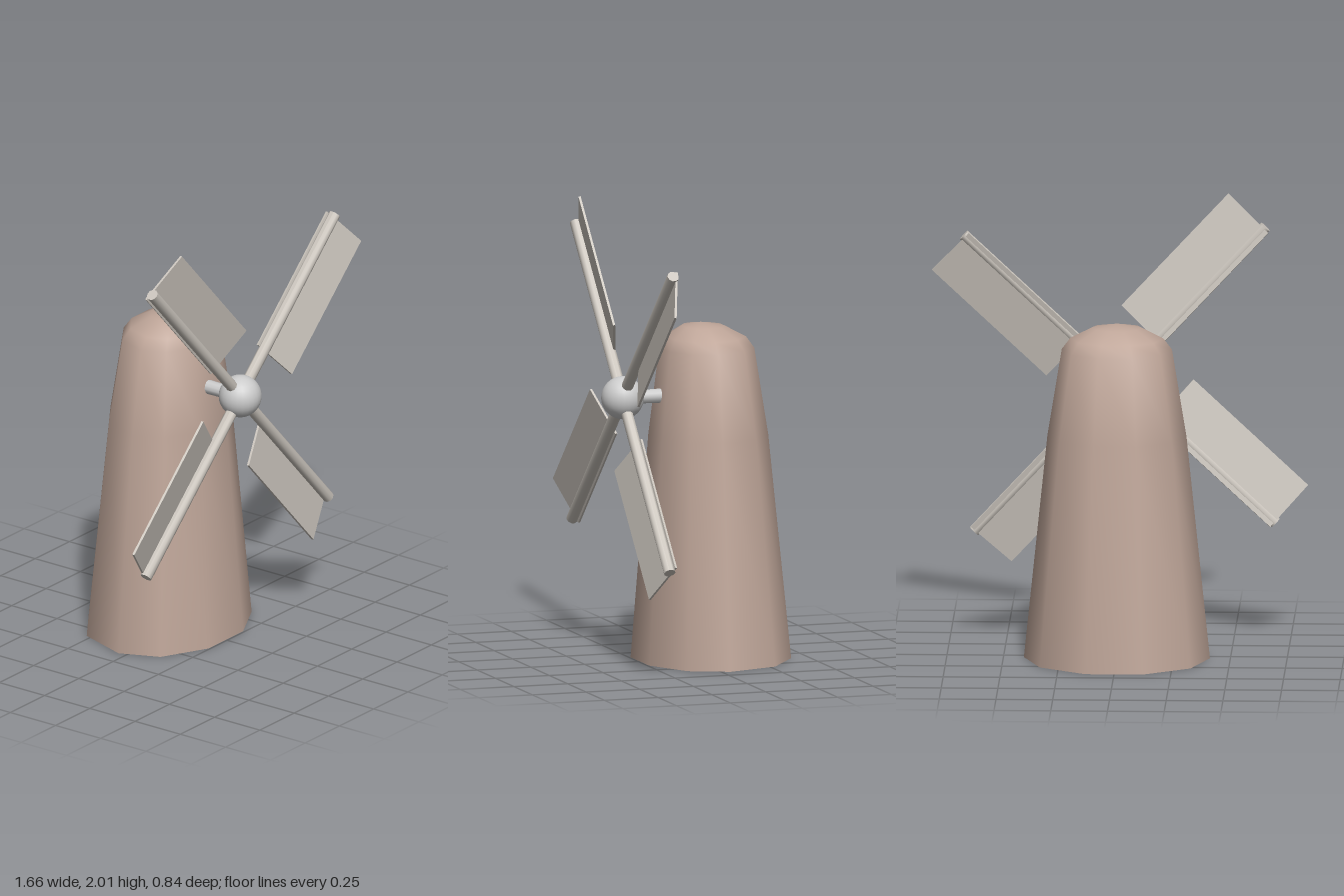
import * as THREE from 'three';
import { toCreasedNormals } from 'three/addons/utils/BufferGeometryUtils.js';

const HUB = { y: 1.18, z: 0.323 };
const brown = new THREE.MeshStandardMaterial({ color: 0xbfa699 });
const grey = new THREE.MeshStandardMaterial({ color: 0xcccccc });
const beige = new THREE.MeshStandardMaterial({ color: 0xcbc5bd });

function addMesh(parent, name, geometry, material) {
  const mesh = new THREE.Mesh(geometry, material);
  mesh.name = name;
  parent.add(mesh);
  return mesh;
}

// Ten-sided tapering tower with a domed top, flatter at the front than at the back
function towerGeometry() {
  const profile = [[0, 0], [0.41, 0], [0.306, 1], [0.243, 1.385], [0.205, 1.435], [0.11, 1.483], [0, 1.5]]
    .map(([r, y]) => new THREE.Vector2(r, y));
  const geometry = new THREE.LatheGeometry(profile, 10, Math.PI / 2);
  const pos = geometry.attributes.position;
  for (let i = 0; i < pos.count; i++) {
    const z = pos.getZ(i);
    pos.setZ(i, z * (z > 0 ? 0.725 : 0.97) - 0.04);
  }
  return toCreasedNormals(geometry, 0.95);
}

// One arm pointing along +x, with its tilted sail board on the clockwise side
function createBlade() {
  const blade = new THREE.Group();
  blade.name = 'blade';
  const arm = addMesh(blade, 'arm',
    toCreasedNormals(new THREE.CylinderGeometry(0.026, 0.026, 0.94, 10), 0.9), beige);
  arm.rotation.z = -Math.PI / 2;
  arm.position.x = 0.47;

  const sail = addMesh(blade, 'sail', new THREE.BoxGeometry(0.69, 0.25, 0.01), beige);
  sail.position.set(0.587, -0.094, 0.006);
  sail.rotation.x = -0.25;
  return blade;
}

export function createModel() {
  const model = new THREE.Group();
  model.name = 'windmill';

  addMesh(model, 'tower', towerGeometry(), brown);

  // Axle from the tower to the hub
  const axle = addMesh(model, 'axle', new THREE.CylinderGeometry(0.028, 0.034, 0.26, 12), grey);
  axle.rotation.x = Math.PI / 2;
  axle.position.set(0, HUB.y, HUB.z - 0.13);

  // Rotor: round hub with four blades
  const rotor = new THREE.Group();
  rotor.name = 'rotor';
  rotor.position.set(0, HUB.y, HUB.z);
  addMesh(rotor, 'hub', new THREE.SphereGeometry(0.095, 24, 16), grey);
  for (let i = 0; i < 4; i++) {
    const blade = createBlade();
    blade.rotation.z = THREE.MathUtils.degToRad(43 + 90 * i);
    rotor.add(blade);
  }
  model.add(rotor);

  return model;
}
